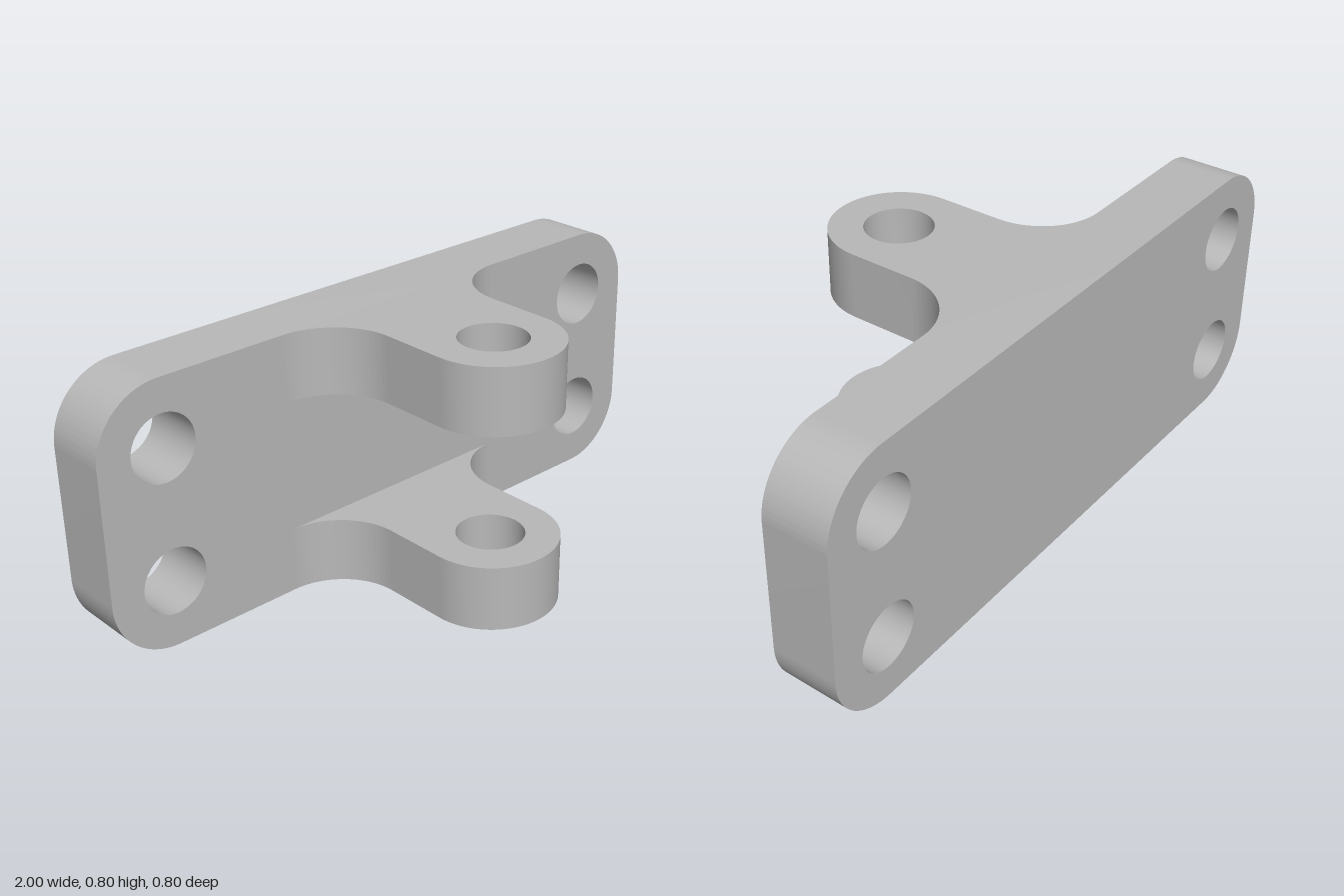
import * as THREE from 'three';
import { toCreasedNormals } from 'three/addons/utils/BufferGeometryUtils.js';

const HOLE_R = 0.1;
const PLATE_BACK = -0.4, PLATE_FRONT = -0.2, HEIGHT = 0.8;
const LUG_THICKNESS = 0.2;

function addHole(shape, x, y) {
  const hole = new THREE.Path();
  hole.absarc(x, y, HOLE_R, 0, Math.PI * 2, true);
  shape.holes.push(hole);
}

function extrude(shape, depth) {
  const geometry = new THREE.ExtrudeGeometry(shape, { depth, bevelEnabled: false, curveSegments: 24 });
  return toCreasedNormals(geometry, Math.PI / 6);
}

// Rounded rectangle with four bolt holes
function plateGeometry() {
  const r = 0.2, w = 1, q = Math.PI / 2;
  const shape = new THREE.Shape();
  shape.moveTo(-w + r, 0);
  shape.absarc(w - r, r, r, -q, 0, false);
  shape.absarc(w - r, HEIGHT - r, r, 0, q, false);
  shape.absarc(-w + r, HEIGHT - r, r, q, 2 * q, false);
  shape.absarc(-w + r, r, r, 2 * q, 3 * q, false);
  for (const x of [-0.8, 0.8]) for (const y of [0.2, 0.6]) addHole(shape, x, y);
  return extrude(shape, PLATE_FRONT - PLATE_BACK).translate(0, 0, PLATE_BACK);
}

// Lug outline drawn in (x, z): filleted root, straight neck, round eye with a pin hole
function lugGeometry() {
  const r = 0.2, q = Math.PI / 2;
  const shape = new THREE.Shape();
  shape.moveTo(-2 * r, PLATE_FRONT);
  shape.lineTo(2 * r, PLATE_FRONT);
  shape.absarc(2 * r, 0, r, -q, -2 * q, true);
  shape.absarc(0, 0.2, r, 0, 2 * q, false);
  shape.absarc(-2 * r, 0, r, 0, -q, true);
  addHole(shape, 0, 0.2);
  return extrude(shape, LUG_THICKNESS).rotateX(q).translate(0, LUG_THICKNESS, 0);
}

export function createModel() {
  const metal = new THREE.MeshStandardMaterial({ color: 0xb8b8b8 });
  metal.name = 'grey metal';

  const model = new THREE.Group();
  model.name = 'clevisBracket';

  const plate = new THREE.Mesh(plateGeometry(), metal);
  plate.name = 'mountingPlate';
  model.add(plate);

  // Matching lugs at the bottom and top of the plate
  const lug = lugGeometry();
  for (const [name, y] of [['lowerLug', 0], ['upperLug', HEIGHT - LUG_THICKNESS]]) {
    const mesh = new THREE.Mesh(lug, metal);
    mesh.name = name;
    mesh.position.y = y;
    model.add(mesh);
  }
  return model;
}
